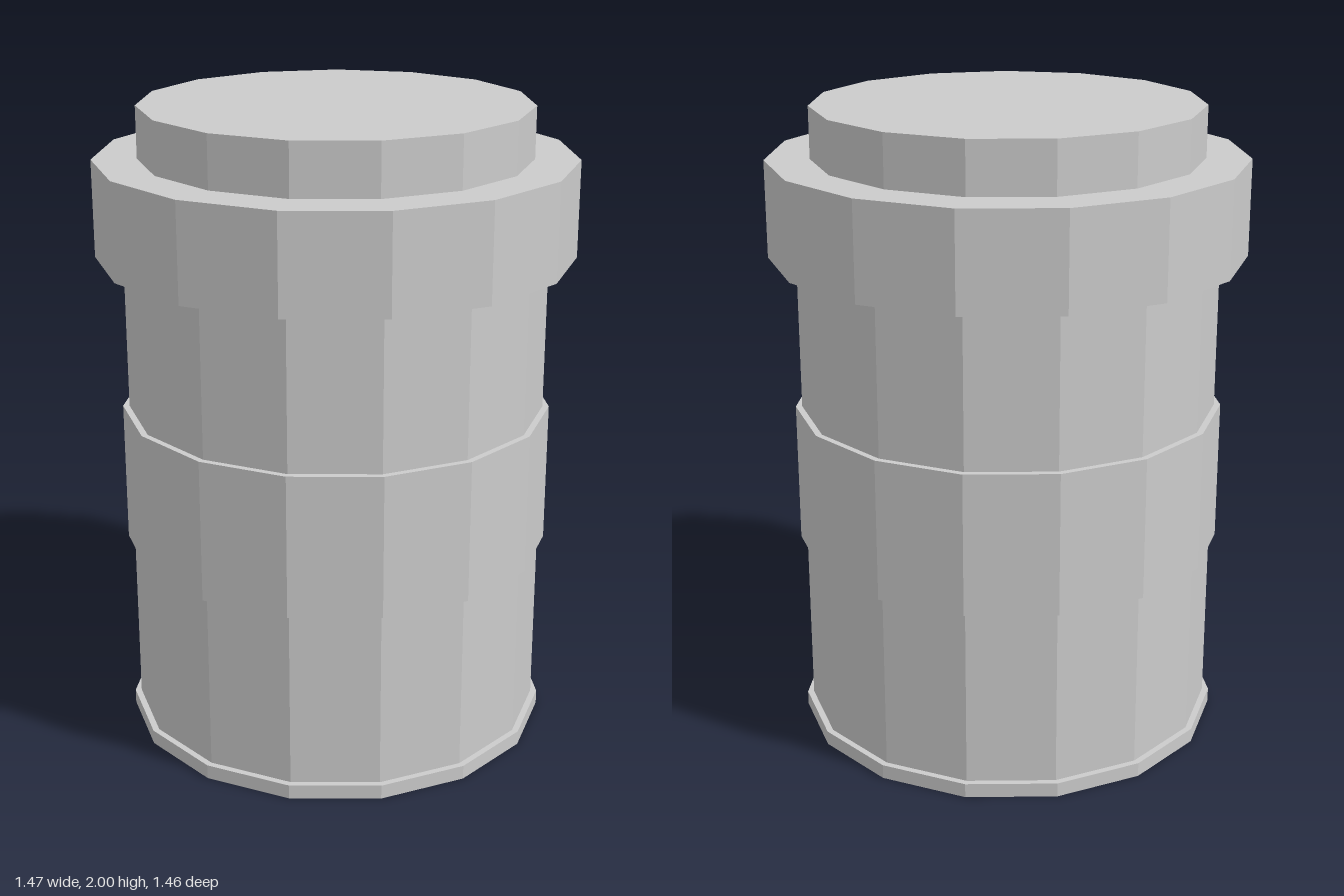
import * as THREE from 'three';

const SIDES = 15;

export function createModel() {
  const model = new THREE.Group();
  const material = new THREE.MeshStandardMaterial({
    color: 0xcccccc, flatShading: true, side: THREE.DoubleSide,
  });

  // Faceted shell turned from [radius, height] pairs, with a corner at the back
  const addShell = (name, profile) => {
    const points = profile.map(([r, y]) => new THREE.Vector2(r, y));
    const mesh = new THREE.Mesh(new THREE.LatheGeometry(points, SIDES, Math.PI), material);
    mesh.name = name;
    mesh.position.z = 0.008; // centres the odd-sided outline
    model.add(mesh);
  };

  const wall = 0.653, band = 0.673, collar = 0.738, cap = 0.6;

  // Hollow body, open underneath, each part including the ledge above it
  addShell('baseRim', [[band, 0], [band, 0.045], [wall, 0.045]]);
  addShell('lowerBody', [[wall, 0.045], [wall, 0.61], [band, 0.61]]);
  addShell('middleBand', [[band, 0.61], [band, 1.055], [wall, 1.055]]);
  addShell('upperBody', [[wall, 1.055], [wall, 1.54]]);

  // Lid: wide collar and raised flat cap
  addShell('lidCollar', [[wall, 1.54], [collar, 1.54], [collar, 1.84], [cap, 1.84]]);
  addShell('lidCap', [[cap, 1.84], [cap, 2], [0, 2]]);

  return model;
}
